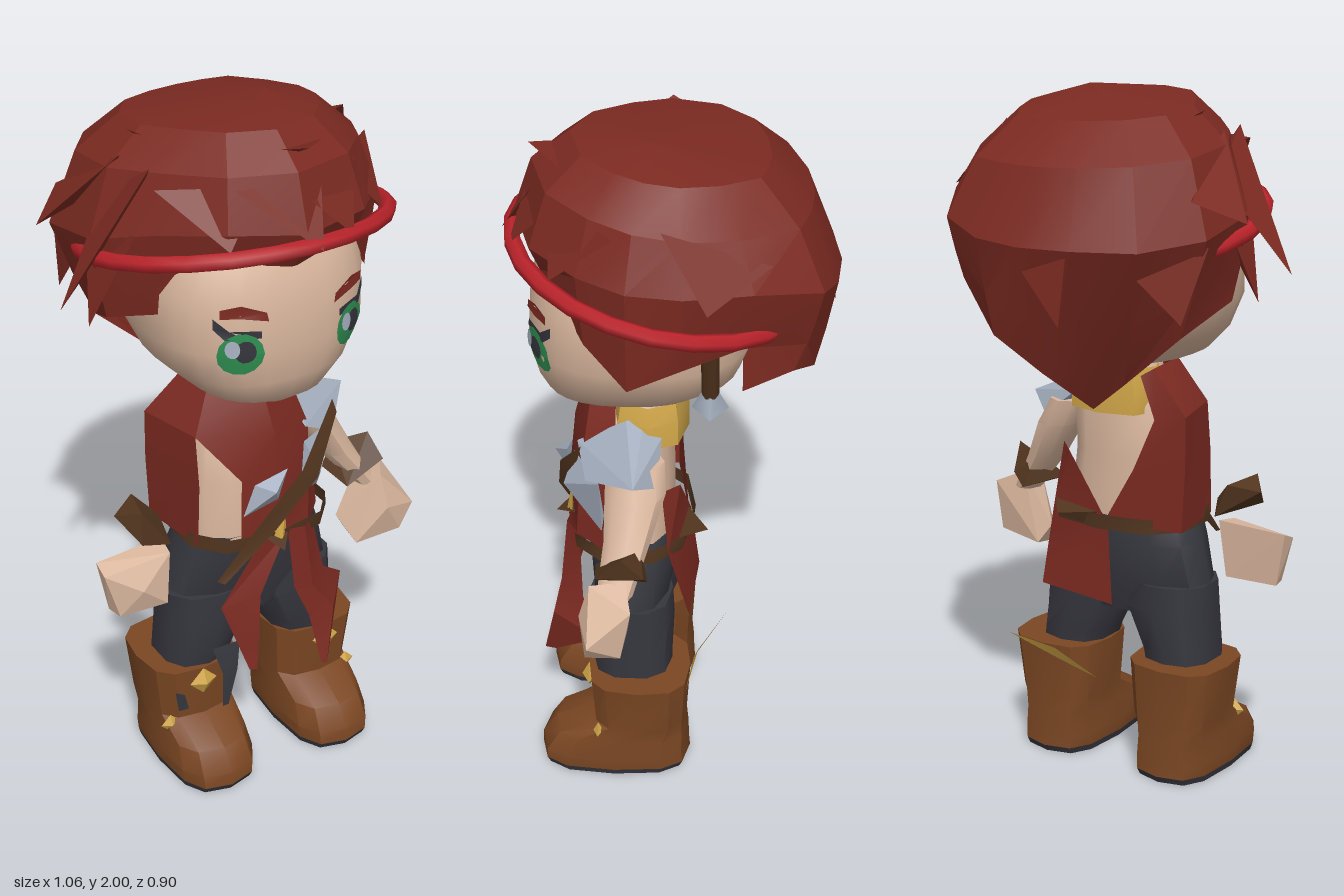
import * as THREE from 'three';
import { toCreasedNormals } from 'three/addons/utils/BufferGeometryUtils.js';
import { ConvexGeometry } from 'three/addons/geometries/ConvexGeometry.js';

const mat = (name, color) => {
  const m = new THREE.MeshStandardMaterial({ color, side: THREE.DoubleSide });
  m.name = name;
  return m;
};

export function createModel() {
  const model = new THREE.Group();
  model.name = 'pirateFigure';
  const hair = mat('dark red', 0x7b2a21), band = mat('bright red', 0xb9232a), skin = mat('skin', 0xdab79e),
    cloth = mat('charcoal', 0x35353d), leather = mat('boot leather', 0x7b4723), strap = mat('dark brown', 0x52351f),
    gold = mat('gold', 0xd0a648), steel = mat('steel', 0xa6b0c0), green = mat('eye green', 0x2f8f52);

  const add = (name, geo, material, parent = model) => {
    const mesh = new THREE.Mesh(geo, material);
    mesh.name = name;
    parent.add(mesh);
    return mesh;
  };
  // Grid of points, rows running bottom to top
  const grid = (rows, closed, crease) => {
    const n = rows[0].length, idx = [];
    for (let r = 0; r < rows.length - 1; r++)
      for (let i = 0; i < (closed ? n : n - 1); i++) {
        const a = r * n + i, b = r * n + (i + 1) % n;
        idx.push(a, b, b + n, a, b + n, a + n);
      }
    const g = new THREE.BufferGeometry();
    g.setAttribute('position', new THREE.Float32BufferAttribute(rows.flat(2), 3));
    g.setIndex(idx);
    return toCreasedNormals(g, crease);
  };
  // Rounded-square cross-sections [y, cx, cz, rx, rz], bottom to top
  const loft = (secs, { n = 10, e = 2.5, caps = true, crease = 0.8 } = {}) => {
    const ring = ([y, cx, cz, rx, rz]) => Array.from({ length: n }, (_, i) => {
      const a = (i / n) * Math.PI * 2, s = Math.sin(a), c = Math.cos(a);
      return [cx + rx * Math.sign(s) * Math.abs(s) ** (2 / e), y, cz + rz * Math.sign(c) * Math.abs(c) ** (2 / e)];
    });
    const end = ([y, cx, cz]) => [y, cx, cz, 0, 0];
    const all = caps ? [end(secs[0]), ...secs, end(secs[secs.length - 1])] : secs;
    return grid(all.map(ring), true, crease);
  };
  // Open cloth sheet, rows given top to bottom
  const sheet = rows => grid([...rows].reverse(), false, 0.5);
  const hull = pts => new ConvexGeometry(pts.map(p => new THREE.Vector3(...p)));

  // Head
  const headSecs = [[1.22, 0, 0.17, 0.07, 0.15], [1.25, 0, 0.13, 0.19, 0.23], [1.32, 0, 0.1, 0.265, 0.285],
    [1.42, 0, 0.09, 0.312, 0.31], [1.56, 0, 0.09, 0.315, 0.3], [1.7, 0, 0.08, 0.28, 0.27], [1.8, 0, 0.08, 0.16, 0.16]];
  add('head', loft(headSecs, { n: 28, crease: 1.2 }), skin);
  const faceZ = (x, y) => {
    let i = 0;
    while (i < headSecs.length - 2 && headSecs[i + 1][0] < y) i++;
    const A = headSecs[i], B = headSecs[i + 1], t = (y - A[0]) / (B[0] - A[0]);
    const [, , cz, rx, rz] = A.map((v, k) => v + (B[k] - v) * t);
    return cz + rz * Math.max(0, 1 - Math.abs(x / rx) ** 2.5) ** 0.4;
  };
  // Face details: flat shapes wrapped onto the face
  const onFace = (name, geo, material, lift) => {
    const p = geo.attributes.position;
    for (let i = 0; i < p.count; i++) p.setZ(i, faceZ(p.getX(i), p.getY(i)) + lift);
    geo.computeVertexNormals();
    add(name, geo, material);
  };
  const disc = (x, y, rx, ry) => new THREE.CircleGeometry(1, 14).scale(rx, ry, 1).translate(x, y, 0);
  const stroke = pts => new THREE.ShapeGeometry(new THREE.Shape(pts.map(p => new THREE.Vector2(...p))));
  for (const s of [-1, 1]) {
    const x = s < 0 ? -0.16 : 0.182;
    onFace('iris', disc(x, 1.425, 0.058, 0.062), green, 0.004);
    onFace('pupil', disc(x + 0.008, 1.435, 0.027, 0.032), cloth, 0.007);
    onFace('eyeGlint', disc(x - 0.025, 1.445, 0.018, 0.025), steel, 0.0095);
    onFace('eyelash', stroke([[x + s * 0.065, 1.53], [x + s * 0.03, 1.495], [x - s * 0.05, 1.49], [x - s * 0.05, 1.47],
      [x + s * 0.04, 1.47], [x + s * 0.065, 1.5]]), cloth, 0.006);
    onFace('eyebrow', stroke([[x + s * 0.05, 1.555], [x, 1.565], [x - s * 0.065, 1.54], [x - s * 0.07, 1.515],
      [x, 1.53], [x + s * 0.05, 1.53]]), hair, 0.007);
  }

  // Hair shell: [degrees from front, widest radius, its height, hem radius, hem height]
  const locks = [[0, 0.43, 1.75, 0.37, 1.64], [30, 0.425, 1.75, 0.365, 1.62], [55, 0.415, 1.74, 0.39, 1.53], [75, 0.42, 1.73, 0.415, 1.44],
    [95, 0.425, 1.73, 0.39, 1.5], [120, 0.43, 1.72, 0.385, 1.54], [146, 0.475, 1.67, 0.43, 1.5], [162, 0.455, 1.63, 0.4, 1.36],
    [180, 0.445, 1.62, 0.33, 1.26], [200, 0.45, 1.62, 0.2, 1.14], [222, 0.475, 1.62, 0.25, 1.22], [246, 0.465, 1.64, 0.35, 1.36],
    [275, 0.42, 1.68, 0.375, 1.44], [302, 0.375, 1.73, 0.36, 1.5], [332, 0.4, 1.76, 0.355, 1.62]];
  const lockRow = f => locks.map(([d, r, y, hr, hy]) => {
    const a = d * Math.PI / 180, [R, Y] = f(r, y, hr, hy, Math.cos(a));
    return [Math.sin(a) * R, Y, Math.cos(a) * R];
  });
  const hairRows = [lockRow((r, y, hr, hy) => [hr, hy]),
    lockRow((r, y, hr, hy) => [(r + hr) * 0.5, y * 0.45 + hy * 0.55]),
    lockRow((r, y) => [r, y]),
    lockRow((r, y, a, b, c) => [r * (0.85 + 0.03 * c), 1.86 + 0.04 * c]),
    lockRow((r, y, a, b, c) => [r * (0.6 + 0.04 * c), 1.955 + 0.025 * c]),
    locks.map(() => [0.1, 2, 0.05])];
  add('hair', grid(hairRows, true, 0.3), hair);
  // Pointed locks: [base, half-width vector, tip]
  const tips = [[[-0.33, 1.84, 0.08], [0.02, 0.06, 0.09], [-0.53, 1.52, 0.08]], [[-0.36, 1.82, -0.08], [0.03, 0.08, 0.13], [-0.5, 1.68, -0.11]],
    [[-0.37, 1.7, 0.06], [0.02, 0.02, 0.1], [-0.44, 1.44, 0.06]], [[0.34, 1.83, -0.12], [0.03, 0.06, 0.14], [0.465, 1.71, -0.1]],
    [[0.26, 1.86, 0.23], [0.1, 0, -0.09], [0.31, 1.71, 0.31]], [[0.1, 1.87, 0.34], [0.12, 0, -0.04], [0.14, 1.72, 0.43]],
    [[-0.04, 1.87, 0.35], [0.12, 0, 0.01], [0.03, 1.71, 0.46]], [[-0.2, 1.86, 0.27], [0.12, 0, 0.06], [-0.19, 1.72, 0.37]],
    [[0.05, 1.93, 0.27], [0.1, 0, 0], [0.03, 1.96, 0.38]], [[-0.2, 1.9, 0.02], [0.03, 0, 0.12], [-0.29, 1.95, 0.02]],
    [[-0.05, 1.6, -0.42], [0.09, 0, 0], [-0.13, 1.42, -0.44]], [[-0.33, 1.62, -0.27], [0.09, 0, -0.1], [-0.38, 1.42, -0.24]]];
  for (const [b, w, t] of tips)
    add('hairLock', hull([t, b.map((v, i) => v + w[i]), b.map((v, i) => v - w[i]), [b[0] * 0.85, b[1] - 0.05, b[2] * 0.85]]), hair);

  // Headband: tilted loop
  const loop = Array.from({ length: 12 }, (_, i) => {
    const a = (i / 12) * Math.PI * 2, z = 0.395 * Math.cos(a);
    return new THREE.Vector3(0.012 + 0.425 * Math.sin(a), 1.63 + z * 0.225, 0.04 + z);
  });
  add('headband', new THREE.TubeGeometry(new THREE.CatmullRomCurve3(loop, true), 24, 0.024, 6, true), band);

  // Hanging ear ornament, slanting in toward the jaw
  const earring = new THREE.Group();
  earring.name = 'earring';
  earring.position.set(0.285, 1.42, -0.105);
  earring.rotation.z = -0.28;
  model.add(earring);
  add('earringRod', new THREE.CylinderGeometry(0.024, 0.024, 0.18, 6).translate(0, 0.02, 0), strap, earring);
  add('earringCap', new THREE.CylinderGeometry(0.012, 0.028, 0.03, 6).translate(0, 0.125, 0), steel, earring);
  add('earringDrop', new THREE.CylinderGeometry(0.024, 0.05, 0.06, 4).translate(0, -0.095, 0), steel, earring);
  add('earringPoint', new THREE.ConeGeometry(0.05, 0.03, 4).rotateX(Math.PI).translate(0, -0.14, 0), steel, earring);

  // Torso, collar and belt
  add('torso', loft([[0.74, 0, 0.13, 0.2, 0.13], [0.95, -0.01, 0.13, 0.185, 0.13], [1.1, 0, 0.12, 0.18, 0.11],
    [1.18, 0, 0.1, 0.1, 0.08], [1.25, 0, 0.1, 0.08, 0.08]], { n: 12 }), skin);
  add('collar', loft([[1.085, 0.02, 0.07, 0.14, 0.11], [1.16, 0.02, 0.07, 0.14, 0.11], [1.215, 0.02, 0.07, 0.125, 0.1]],
    { n: 8, caps: false }), gold);
  add('belt', loft([[0.745, 0.01, 0.125, 0.235, 0.18], [0.79, 0.01, 0.125, 0.23, 0.185]], { caps: false }), strap);
  add('beltEndFront', hull([[-0.05, 0.79, 0.29], [0.05, 0.78, 0.29], [0, 0.75, 0.35], [0, 0.74, 0.28]]), strap);
  add('beltEndBack', hull([[0.18, 0.8, -0.02], [0.02, 0.79, -0.04], [0.06, 0.745, -0.04], [0.12, 0.785, -0.1]]), strap);
  add('beltBuckle', hull([[-0.01, 0.86, 0.3], [0.03, 0.86, 0.3], [0.01, 0.75, 0.32], [0.035, 0.77, 0.3], [-0.015, 0.77, 0.3]]), gold);

  // Vest panels and coat tails
  add('vestFront', sheet([[[-0.13, 1.23, 0.15], [-0.02, 1.23, 0.25], [0.08, 1.22, 0.23], [0.11, 1.2, 0.16]],
    [[-0.2, 1.1, 0.2], [0, 1.1, 0.285], [0.13, 1.08, 0.25], [0.17, 1.06, 0.16]],
    [[-0.1, 0.97, 0.28], [0.02, 0.95, 0.3], [0.13, 0.95, 0.265], [0.19, 0.95, 0.17]],
    [[-0.1, 0.76, 0.28], [0, 0.76, 0.3], [0.12, 0.76, 0.28], [0.205, 0.76, 0.19]]]), hair);
  add('vestSide', sheet([[[-0.13, 1.22, 0.02], [-0.13, 1.23, 0.15]], [[-0.25, 1.1, 0], [-0.2, 1.1, 0.2]],
    [[-0.25, 0.95, 0], [-0.2, 0.95, 0.22]], [[-0.24, 0.76, 0], [-0.205, 0.76, 0.22]]]), hair);
  add('vestBackRight', sheet([[[-0.1, 1.2, 0], [-0.13, 1.22, 0.02]], [[-0.15, 1.08, -0.005], [-0.25, 1.1, 0]],
    [[-0.09, 0.93, -0.02], [-0.25, 0.95, 0]], [[0, 0.76, -0.04], [-0.24, 0.76, 0]]]), hair);
  add('vestBackLeft', sheet([[[0.185, 0.96, 0.03], [0.13, 0.95, -0.02]], [[0.21, 0.76, 0.01], [-0.02, 0.76, -0.045]],
    [[0.21, 0.54, -0.05], [-0.05, 0.53, -0.07]]]), hair);
  add('tailFrontLeft', sheet([[[0.04, 0.78, 0.3], [0.09, 0.78, 0.31], [0.14, 0.77, 0.27]], [[0.06, 0.58, 0.31], [0.11, 0.58, 0.33], [0.19, 0.58, 0.26]],
    [[0.1, 0.48, 0.33], [0.17, 0.5, 0.35], [0.285, 0.5, 0.21]], [[0.12, 0.33, 0.37], [0.13, 0.33, 0.385], [0.16, 0.35, 0.35]]]), hair);
  add('tailFrontRight', sheet([[[-0.04, 0.78, 0.3], [0.03, 0.78, 0.31]], [[-0.16, 0.56, 0.27], [-0.06, 0.6, 0.32]],
    [[-0.13, 0.46, 0.3], [-0.07, 0.46, 0.33]], [[-0.1, 0.36, 0.33], [-0.08, 0.36, 0.34]]]), hair);
  add('chestStrap', sheet([[[0.21, 1.13, 0.25], [0.22, 1.09, 0.26]], [[0.07, 0.98, 0.325], [0.12, 0.94, 0.325]],
    [[-0.07, 0.82, 0.31], [-0.01, 0.8, 0.315]], [[-0.19, 0.68, 0.3], [-0.17, 0.67, 0.31]]]), strap);

  // Shoulder and chest armour
  add('shoulderPlate', hull([[0.1, 1.17, 0.08], [0.14, 1.17, 0.13], [0.11, 1.08, 0.27], [0.34, 1.08, 0.1], [0.26, 1.03, 0.04],
    [0.14, 1.12, 0.03], [0.22, 1.02, 0.24]]), steel);
  add('upperPlate', hull([[0.1, 1.04, 0.28], [0.25, 1.03, 0.2], [0.2, 0.83, 0.2], [0.1, 0.87, 0.27], [0.14, 0.95, 0.31], [0.22, 0.9, 0.19]]), steel);
  add('chestPlate', hull([[-0.1, 0.86, 0.29], [-0.07, 0.96, 0.3], [0.03, 0.99, 0.31], [0, 0.9, 0.31], [-0.03, 0.95, 0.35]]), steel);

  // Left arm, wrist guards and hands
  add('leftArm', loft([[0.76, 0.4, 0.15, 0.04, 0.05], [0.88, 0.31, 0.12, 0.055, 0.065], [1.0, 0.24, 0.1, 0.065, 0.085], [1.08, 0.2, 0.1, 0.06, 0.08]], { n: 8, e: 2 }), skin);
  add('leftCuff', hull([[0.28, 0.81, 0.1], [0.3, 0.79, 0.21], [0.42, 0.9, 0.13], [0.43, 0.84, 0.2], [0.36, 0.78, 0.06], [0.33, 0.87, 0.08], [0.4, 0.82, 0.07]]), strap);
  add('rightCuff', hull([[-0.42, 0.88, 0.13], [-0.37, 0.91, 0.2], [-0.34, 0.9, 0.08], [-0.28, 0.84, 0.13], [-0.28, 0.78, 0.2], [-0.38, 0.82, 0.22], [-0.3, 0.8, 0.08]]), strap);
  add('leftHand', hull([[0.4, 0.81, 0.12], [0.41, 0.8, 0.22], [0.49, 0.77, 0.1], [0.53, 0.67, 0.22], [0.48, 0.6, 0.23], [0.34, 0.58, 0.21],
    [0.31, 0.65, 0.14], [0.49, 0.61, 0.13], [0.35, 0.59, 0.12], [0.42, 0.7, 0.25]]), skin);
  add('rightHand', hull([[-0.28, 0.77, 0.14], [-0.29, 0.76, 0.21], [-0.49, 0.76, 0.15], [-0.49, 0.74, 0.2], [-0.46, 0.6, 0.16],
    [-0.45, 0.6, 0.21], [-0.3, 0.6, 0.15], [-0.31, 0.61, 0.23], [-0.39, 0.68, 0.24]]), skin);

  // Trousers
  add('hips', loft([[0.48, 0, 0.12, 0.14, 0.1], [0.58, 0, 0.12, 0.265, 0.12], [0.7, 0, 0.12, 0.235, 0.13], [0.77, 0, 0.13, 0.205, 0.13]], { n: 12 }), cloth);
  for (const s of [-1, 1]) {
    add('trouserLeg', loft([[0.28, s * 0.19, 0.11, 0.1, 0.11], [0.38, s * 0.175, 0.12, 0.11, 0.12], [0.5, s * 0.14, 0.12, 0.135, 0.125],
      [0.58, s * 0.135, 0.12, 0.135, 0.12]]), cloth);
    // Boot with sole and studs
    const boot = new THREE.Group();
    boot.name = s < 0 ? 'rightBoot' : 'leftBoot';
    boot.position.x = s < 0 ? -0.195 : 0.205;
    model.add(boot);
    add('bootUpper', loft([[0.02, 0, 0.17, 0.125, 0.225], [0.06, 0, 0.17, 0.13, 0.222], [0.125, 0, 0.15, 0.122, 0.2],
      [0.18, 0, 0.095, 0.128, 0.14], [0.35, 0.005 * s, 0.095, 0.145, 0.15], [0.35, 0, 0.095, 0.1, 0.11]], { n: 12, e: 3, crease: 0.6 }), leather, boot);
    add('bootSole', loft([[0, 0, 0.17, 0.12, 0.215], [0.02, 0, 0.17, 0.125, 0.225]], { n: 12, e: 3 }), cloth, boot);
    const stud = (x, y, z, r) => add('bootStud', new THREE.OctahedronGeometry(r).scale(1, 1, 0.5).translate(x, y, z), gold, boot);
    stud(s * 0.01, 0.305, 0.245, 0.044);
    stud(s * 0.105, 0.165, 0.215, 0.03);
  }
  // Loose boot flap and torn trouser ends
  add('bootFlap', sheet([[[0.34, 0.353, -0.045], [0.15, 0.353, -0.075]], [[0.14, 0.315, -0.062], [-0.06, 0.335, -0.16]]]), gold);
  add('trouserTear', sheet([[[-0.17, 0.4, 0.24], [-0.08, 0.4, 0.24]], [[-0.15, 0.32, 0.262], [-0.1, 0.32, 0.262]], [[-0.15, 0.2, 0.262], [-0.13, 0.2, 0.262]]]), cloth);
  add('trouserPatch', sheet([[[-0.295, 0.29, 0.24], [-0.27, 0.28, 0.25]], [[-0.285, 0.22, 0.24], [-0.26, 0.23, 0.255]]]), cloth);
  return model;
}
